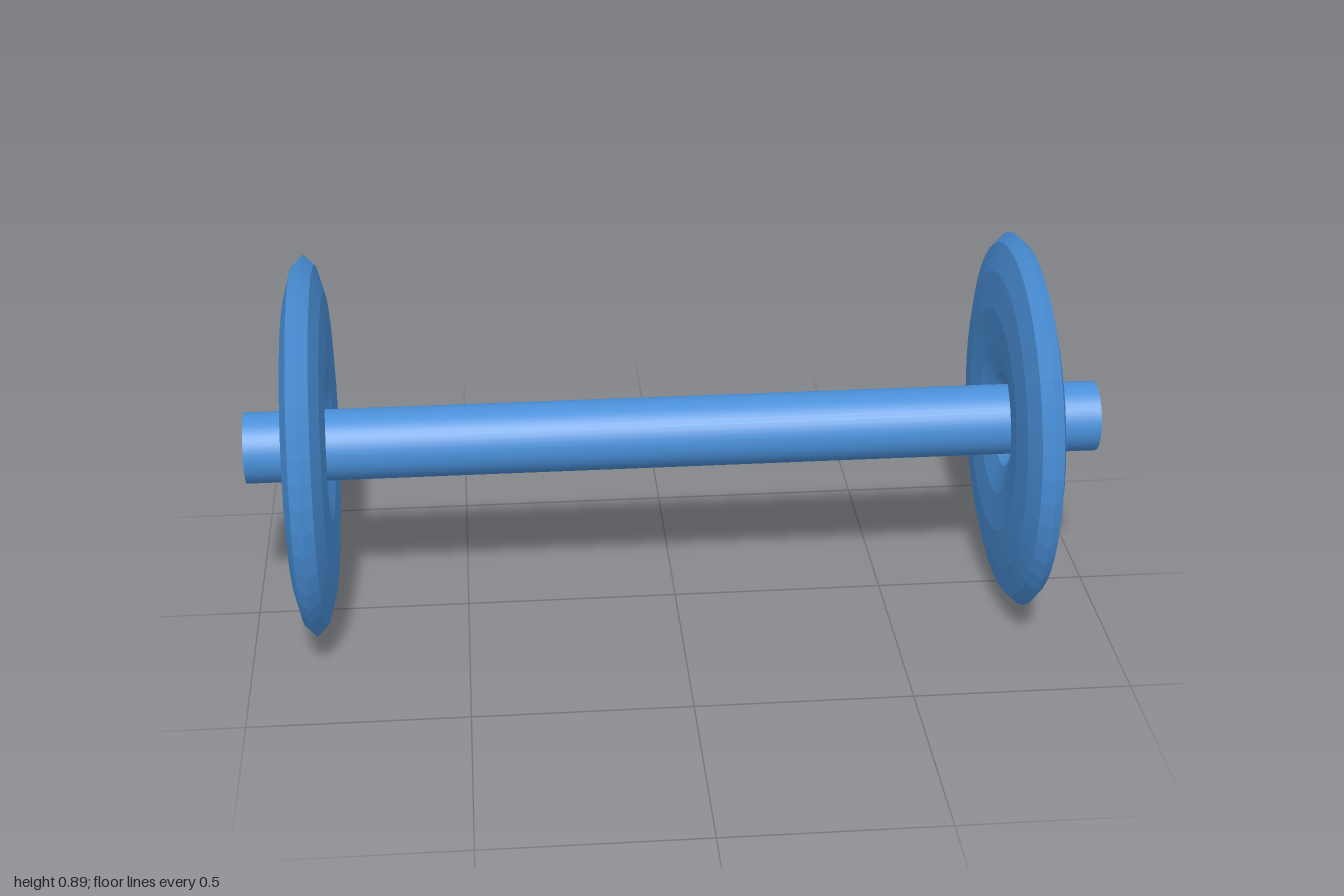
import * as THREE from 'three';

const AXLE_Y = 0.445;

export function createModel() {
  const model = new THREE.Group();
  model.name = 'wheelset';
  const color = 0x4a90d9;

  // Axle: one rod whose normals blend softly into its end caps
  const r = 0.083;
  const profile = [[0, -1], [r, -1], [r, 1], [0, 1]].map(([x, y]) => new THREE.Vector2(x, y));
  const axle = new THREE.Mesh(
    new THREE.LatheGeometry(profile, 48).rotateZ(-Math.PI / 2),
    new THREE.MeshStandardMaterial({ color })
  );
  axle.name = 'axle';
  axle.position.y = AXLE_Y;
  model.add(axle);

  // Wheels: rings flattened along the axle, with a small gap around it
  const wheelGeometry = new THREE.TorusGeometry(0.2655, 0.1775, 12, 48)
    .scale(1, 1, 0.05 / 0.1775)
    .rotateY(Math.PI / 2);
  const wheelMaterial = new THREE.MeshStandardMaterial({ color, flatShading: true });
  for (const [name, x] of [['rightWheel', -0.849], ['leftWheel', 0.806]]) {
    const wheel = new THREE.Mesh(wheelGeometry, wheelMaterial);
    wheel.name = name;
    wheel.position.set(x, AXLE_Y, 0);
    model.add(wheel);
  }
  return model;
}
